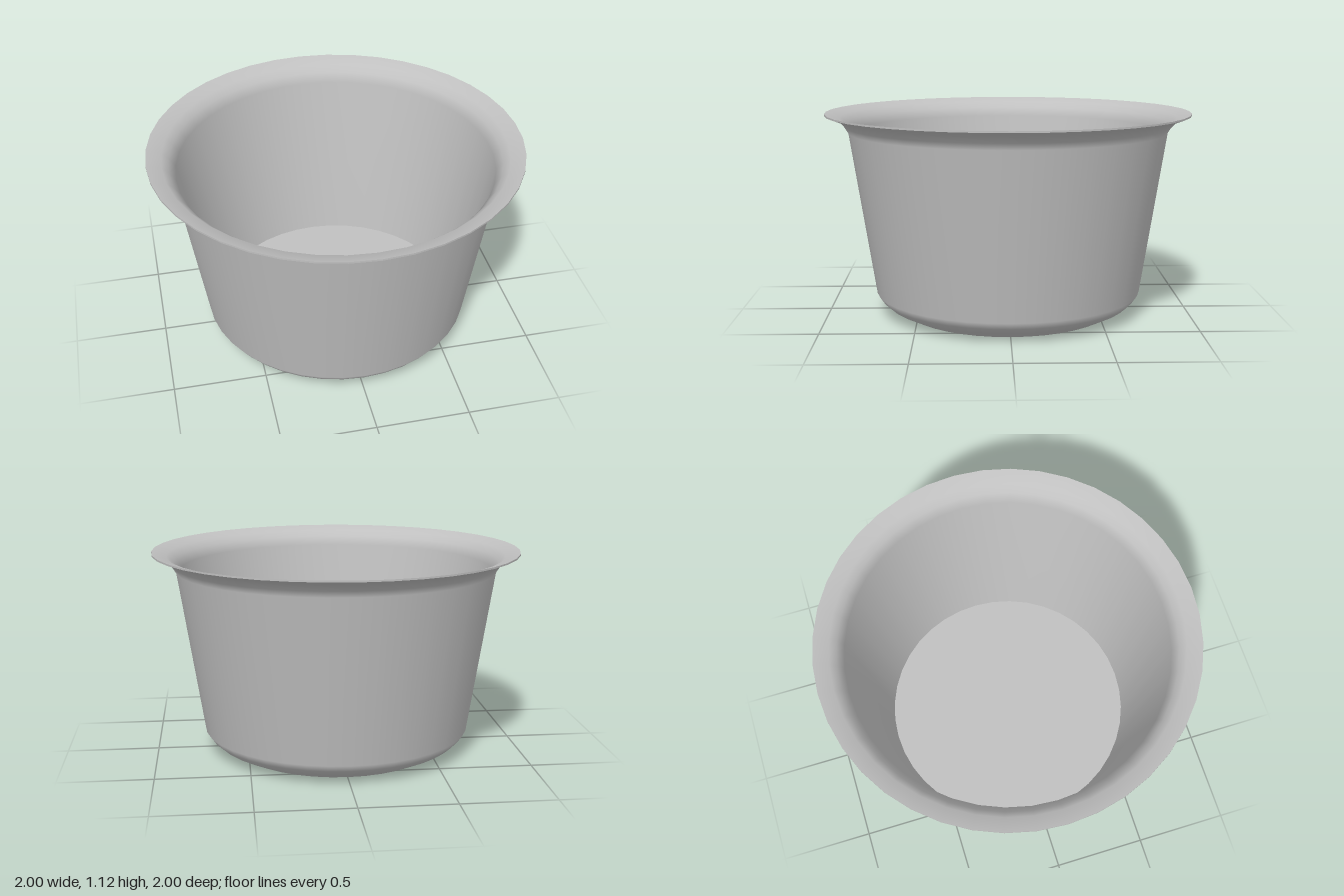
import * as THREE from 'three';

const SIDES = 40;

export function createModel() {
  const group = new THREE.Group();
  group.name = 'bowl';
  const grey = new THREE.MeshStandardMaterial({ color: 0xc0c0c0 });
  grey.name = 'grey';

  // Each profile runs with the solid on its left, so the faces look outward
  const add = (name, profile) => {
    const points = profile.map(([r, y]) => new THREE.Vector2(r, y));
    const mesh = new THREE.Mesh(new THREE.LatheGeometry(points, SIDES), grey);
    mesh.name = name;
    group.add(mesh);
  };

  // Flat underside
  add('underside', [[0, 0], [0.575, 0]]);

  // Rounded foot, tapered wall and flared lip
  add('outerWall', [
    [0.575, 0], [0.672, 0.048], [0.708, 0.08], [0.735, 0.118],
    [0.873, 1.01], [0.895, 1.045], [0.928, 1.08], [1, 1.106],
  ]);

  // Thin edge of the lip
  add('rimEdge', [[1, 1.106], [1, 1.115]]);

  // Lip top running down into the tapered inside
  add('innerWall', [
    [1, 1.115], [0.92, 1.092], [0.885, 1.058], [0.851, 1.01], [0.68, 0.07],
  ]);

  // Flat inside floor
  add('floor', [[0.68, 0.07], [0, 0.07]]);

  return group;
}
